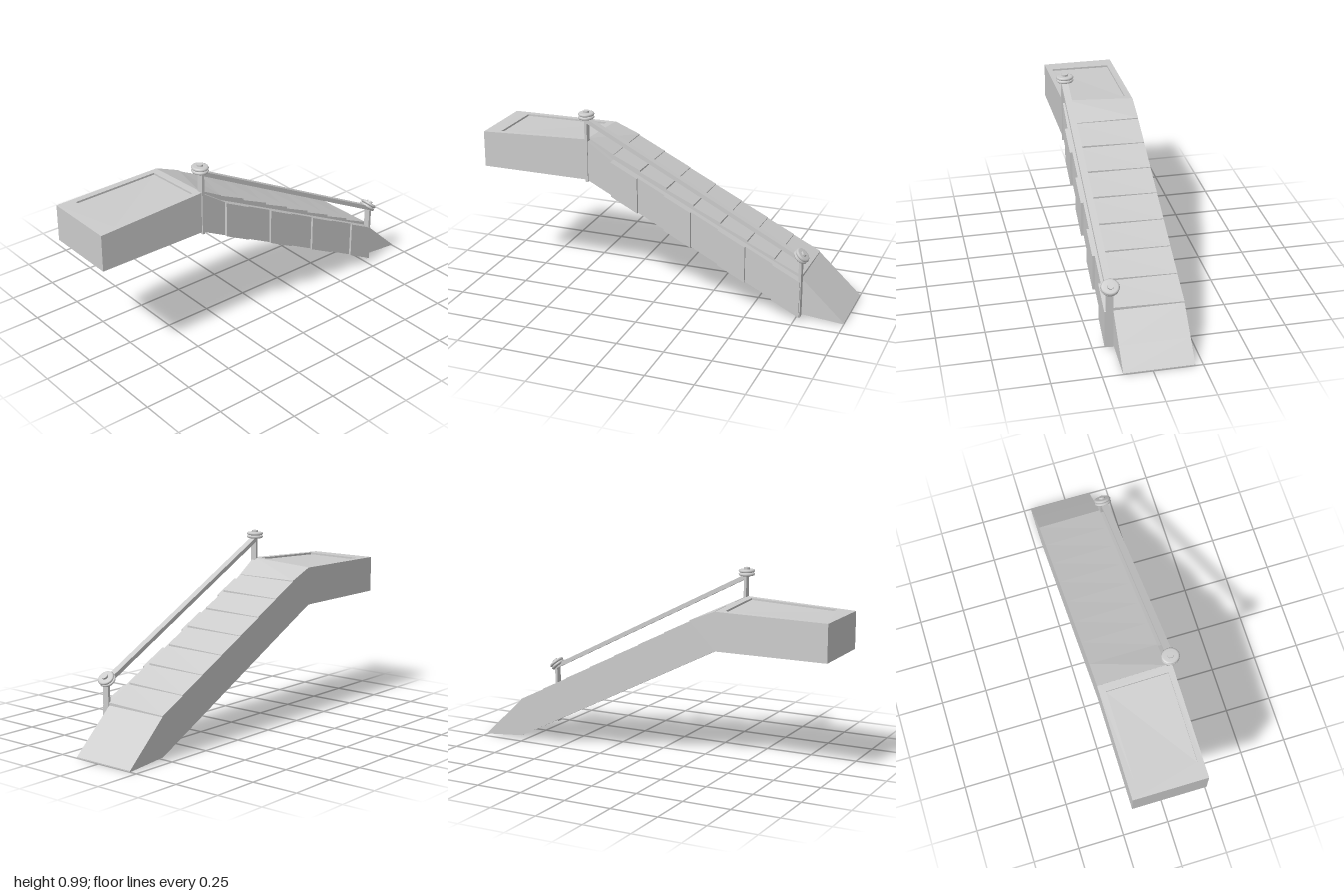
import * as THREE from 'three';

const material = new THREE.MeshStandardMaterial({ color: 0xcccccc, flatShading: true });
const smooth = new THREE.MeshStandardMaterial({ color: 0xcccccc });
const BACK = -0.21, FRONT = 0.148, RAIL_Z = 0.167;

function add(parent, name, geometry, mat = material) {
  const mesh = new THREE.Mesh(geometry, mat);
  mesh.name = name;
  parent.add(mesh);
  return mesh;
}

// Joins four-cornered loops (front left, front right, back right, back left) from bottom to top.
function loft(loops) {
  const pos = [];
  const quad = (a, b, c, d) => pos.push(...a, ...b, ...c, ...a, ...c, ...d);
  for (let k = 0; k + 1 < loops.length; k++) {
    for (let i = 0; i < 4; i++) {
      const j = (i + 1) % 4;
      quad(loops[k][i], loops[k][j], loops[k + 1][j], loops[k + 1][i]);
    }
  }
  const last = loops[loops.length - 1];
  quad(last[0], last[1], last[2], last[3]);
  quad(loops[0][3], loops[0][2], loops[0][1], loops[0][0]);
  const g = new THREE.BufferGeometry();
  g.setAttribute('position', new THREE.Float32BufferAttribute(pos, 3));
  g.computeVertexNormals();
  return g;
}

// Rectangle in plan whose height follows a rule y(x, z).
function loop(x0, x1, z0, z1, y) {
  return [[x0, z1], [x1, z1], [x1, z0], [x0, z0]].map(([x, z]) => [x, y(x, z), z]);
}

const line = (xa, ya, xb, yb) => (x) => ya + ((yb - ya) * (x - xa)) / (xb - xa);
const underside = line(-0.4, 0.61, 0.77, 0.02);
const deck = line(-0.26, 0.75, 0.77, 0.222);
const panelTop = line(-0.26, 0.73, 0.77, 0.218);

function addLanding(group) {
  // Gently sloping top with a shallow sunken panel
  const top = (x, z) => 0.805 + ((x + 1) / 0.6) * (0.007 + 0.021 * (z - BACK) / 0.39);
  add(group, 'landing', loft([
    loop(-1, -0.4, BACK, 0.178, () => 0.61),
    loop(-1, -0.4, BACK, 0.178, top),
    loop(-0.91, -0.44, -0.175, 0.148, top),
    loop(-0.91, -0.44, -0.175, 0.148, (x, z) => top(x, z) - 0.01),
  ]));
}

function addRamp(group) {
  // Solid sloping body ending in a pointed toe
  const shape = new THREE.Shape();
  [[-0.4, 0.61], [0.77, 0.02], [1, 0], [1, 0.006], [0.9, 0.1], [0.77, 0.222], [-0.26, 0.75], [-0.4, 0.813]]
    .forEach(([x, y], i) => (i ? shape.lineTo(x, y) : shape.moveTo(x, y)));
  const body = new THREE.ExtrudeGeometry(shape, { depth: FRONT - BACK, bevelEnabled: false });
  add(group, 'rampBody', body.translate(0, 0, BACK));

  // Wedge joining the landing to the first tread
  add(group, 'topWedge', loft([
    loop(-0.4, -0.26, BACK, FRONT, (x) => (x < -0.3 ? 0.78 : 0.72)),
    loop(-0.4, -0.26, BACK, FRONT, (x, z) => (x < -0.3 ? (z > 0 ? 0.832 : 0.813) : 0.757)),
  ]));

  // Treads, each lower edge lapping slightly above the next; panels step in and out
  const edges = [-0.26, -0.113, 0.035, 0.182, 0.33, 0.478, 0.625, 0.772];
  for (let i = 0; i < 7; i++) {
    const x0 = edges[i], x1 = edges[i + 1];
    const lift = (x, z) => (x === x1 ? 0.014 : 0.004) * (z > 0 ? 1 : 0.35);
    add(group, 'tread', loft([
      loop(x0, x1, BACK, FRONT, (x) => deck(x) - 0.02),
      loop(x0, x1, BACK, FRONT, (x, z) => deck(x) + lift(x, z)),
    ]));
    const z1 = i % 2 ? 0.18 : 0.193;
    add(group, 'sidePanel', loft([
      loop(x0, x1, 0.12, z1, underside), loop(x0, x1, 0.12, z1, panelTop),
    ]));
  }
  add(group, 'topSidePanel', loft([
    loop(-0.4, -0.26, 0.12, 0.178, underside),
    loop(-0.4, -0.26, 0.12, 0.178, line(-0.4, 0.826, -0.26, 0.73)),
  ]));
}

function addPostCap(group, x, y, tilt) {
  // Two stacked rounded discs with a small knob
  const cap = new THREE.Group();
  cap.name = 'postCap';
  cap.position.set(x, y, RAIL_Z - 0.003);
  cap.rotation.z = tilt;
  const disc = [[0, -0.008], [0.036, -0.008], [0.043, -0.006], [0.047, 0], [0.043, 0.006], [0.036, 0.008], [0, 0.008]]
    .map(([r, h]) => new THREE.Vector2(r, h));
  for (const h of [-0.009, 0.008]) {
    add(cap, 'capDisc', new THREE.LatheGeometry(disc, 24), smooth).position.y = h;
  }
  add(cap, 'capKnob', new THREE.CylinderGeometry(0.017, 0.017, 0.018, 12), material).position.y = 0.017;
  cap.scale.x = 0.9;
  group.add(cap);
}

function addHandrail(group) {
  const posts = [[-0.4, 0.6, 0.965], [0.77, 0.015, 0.35]];
  for (const [x, y0, y1] of posts) {
    add(group, 'post', new THREE.BoxGeometry(0.014, y1 - y0, 0.036)).position.set(x, (y0 + y1) / 2, RAIL_Z);
  }
  // Sloping rail between the posts
  const dx = 1.17, dy = -0.6;
  const rail = add(group, 'rail', new THREE.BoxGeometry(Math.hypot(dx, dy), 0.022, 0.036));
  rail.position.set(0.185, 0.638, RAIL_Z);
  rail.rotation.z = Math.atan2(dy, dx);
  addPostCap(group, -0.403, 0.96, 0);
  addPostCap(group, 0.77, 0.352, -0.75);
}

export function createModel() {
  const group = new THREE.Group();
  group.name = 'rampWithHandrail';
  addLanding(group);
  addRamp(group);
  addHandrail(group);
  return group;
}
